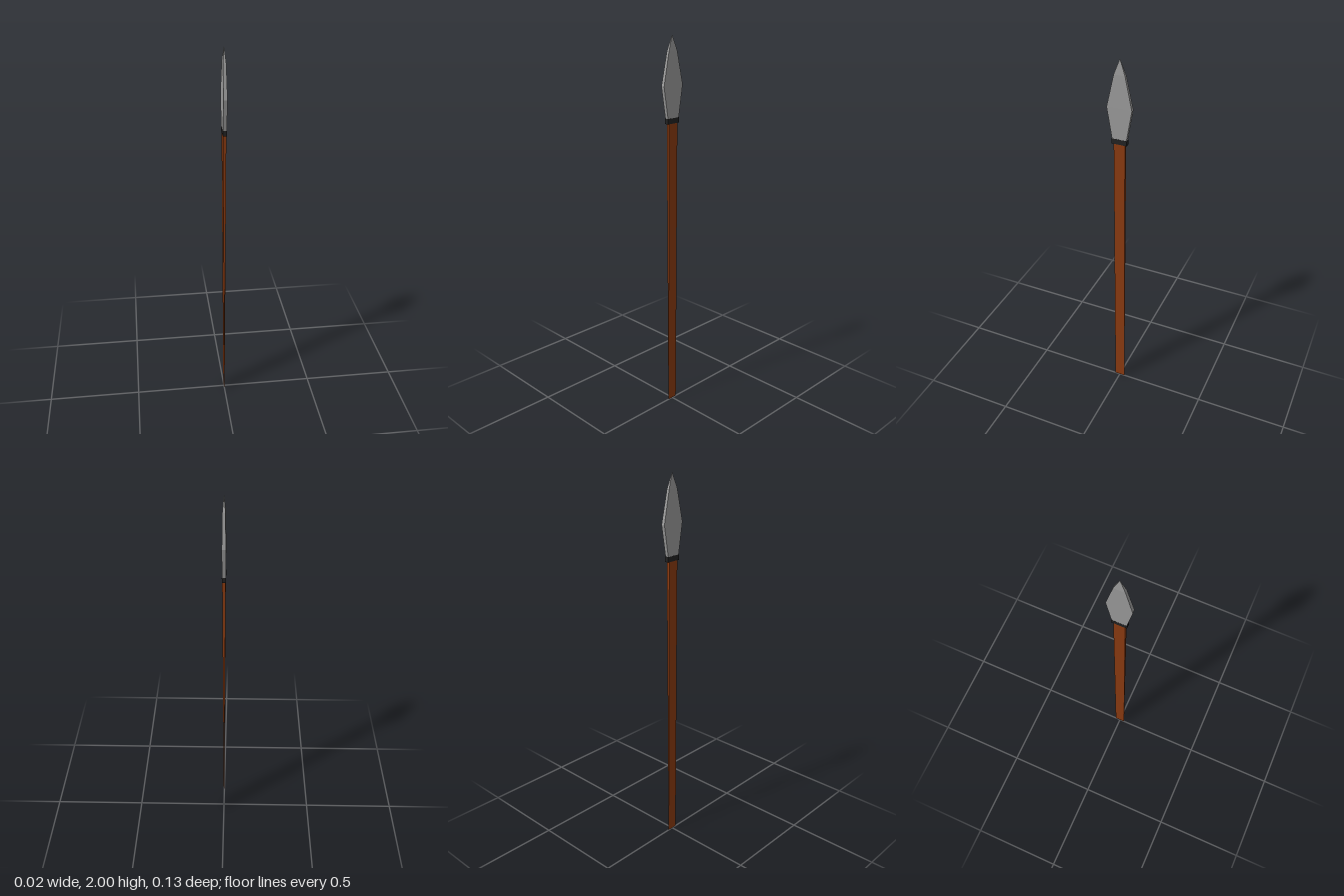
import * as THREE from 'three';

// Closed solid through rectangular sections [y, halfX, halfZ], bottom to top
function loft(name, color, sections) {
  const corners = [[1, 1], [1, -1], [-1, -1], [-1, 1]];
  const positions = [];
  const index = [];
  for (const [y, hx, hz] of sections) {
    for (const [sx, sz] of corners) positions.push(sx * hx, y, sz * hz);
  }
  for (let i = 0; i < sections.length - 1; i++) {
    for (let k = 0; k < 4; k++) {
      const a = i * 4 + k, b = i * 4 + (k + 1) % 4;
      index.push(a, b, b + 4, a, b + 4, a + 4);
    }
  }
  const t = (sections.length - 1) * 4;
  index.push(0, 2, 1, 0, 3, 2, t, t + 1, t + 2, t, t + 2, t + 3);

  const indexed = new THREE.BufferGeometry();
  indexed.setAttribute('position', new THREE.Float32BufferAttribute(positions, 3));
  indexed.setIndex(index);
  const geometry = indexed.toNonIndexed();
  geometry.computeVertexNormals();
  const mesh = new THREE.Mesh(geometry, new THREE.MeshStandardMaterial({ color, flatShading: true }));
  mesh.name = name;
  return mesh;
}

export function createModel() {
  const spear = new THREE.Group();
  spear.name = 'spear';

  // Flat wooden shaft, thinning to an edge at the foot
  spear.add(loft('shaft', 0x8a3a10, [[0, 0.0002, 0.029], [1.58, 0.0083, 0.029]]));

  // Dark binding between shaft and blade
  spear.add(loft('collar', 0x222222, [[1.573, 0.01, 0.039], [1.6, 0.01, 0.039]]));

  // Leaf-shaped blade rising to a point
  spear.add(loft('blade', 0x999999, [
    [1.598, 0.0095, 0.037],
    [1.76, 0.0095, 0.064],
    [1.925, 0.0075, 0.028],
    [2, 0.0002, 0.0005],
  ]));

  return spear;
}
